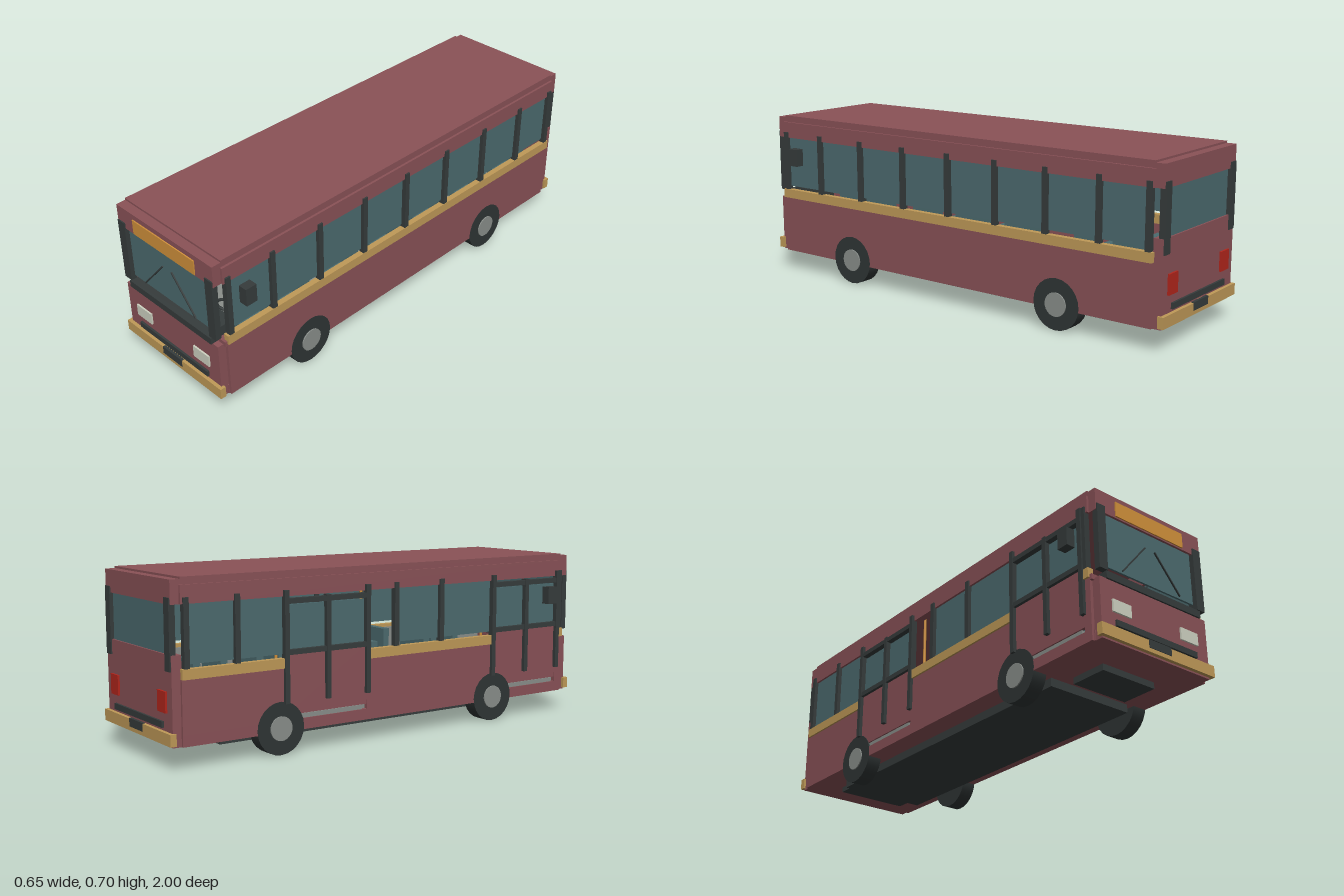
import * as THREE from 'three';

const paint = (name, color, extra = {}) => {
  const m = new THREE.MeshStandardMaterial({ color, ...extra });
  m.name = name;
  return m;
};

export function createModel() {
  const bus = new THREE.Group();
  bus.name = 'bus';
  const maroon = paint('maroon paint', 0x8a5257);
  const tan = paint('tan trim', 0xc09a58);
  const glass = paint('teal glass', 0x4c6b6f);
  const dark = paint('dark trim', 0x363c3c);
  const tyre = paint('tyre rubber', 0x2f3535);
  const grey = paint('light grey', 0x8a8f8b);
  const lampWhite = paint('headlight cream', 0xced2c1);
  const lampRed = paint('tail light red', 0xb3261c);
  const amber = paint('amber sign', 0xd2913b);

  // Box given by its limits on each axis
  const box = (name, mat, x0, x1, y0, y1, z0, z1, parent = bus) => {
    const m = new THREE.Mesh(new THREE.BoxGeometry(x1 - x0, y1 - y0, z1 - z0), mat);
    m.position.set((x0 + x1) / 2, (y0 + y1) / 2, (z0 + z1) / 2);
    m.name = name;
    parent.add(m);
    return m;
  };
  // Side box measured outward from the centre line, s = +1 left or -1 right
  const side = (name, mat, s, a, b, y0, y1, z0, z1) =>
    box(name, mat, s > 0 ? a : -b, s > 0 ? b : -a, y0, y1, z0, z1);
  // End box measured outward from the middle, e = +1 front or -1 back
  const end = (name, mat, e, x0, x1, y0, y1, a, b) =>
    box(name, mat, x0, x1, y0, y1, e > 0 ? a : -b, e > 0 ? b : -a);

  // Floor, chassis and roof
  box('underbody', maroon, -0.275, 0.275, 0.088, 0.13, -0.955, 0.955);
  box('cabinFloor', grey, -0.268, 0.268, 0.13, 0.15, -0.94, 0.94);
  box('chassis', dark, -0.195, 0.195, 0.054, 0.088, -0.75, 0.635);
  box('rearTank', dark, -0.16, 0.16, 0.066, 0.088, -0.84, -0.75);
  box('frontTray', dark, -0.13, 0.13, 0.062, 0.088, 0.685, 0.84);
  box('roof', maroon, -0.275, 0.275, 0.67, 0.705, -0.945, 0.945);

  // Parts shared by both sides
  for (const s of [1, -1]) {
    side('sill', maroon, s, 0.262, 0.285, 0.088, 0.132, -0.95, 0.95);
    side('cantrail', maroon, s, 0.255, 0.285, 0.608, 0.677, -0.95, 0.95);
    side('mirror', dark, s, 0.285, 0.323, 0.49, 0.565, 0.83, 0.88);
  }

  // Left side: unbroken wall, stripe and windows
  side('leftWall', maroon, 1, 0.268, 0.285, 0.13, 0.336, -0.95, 0.95);
  side('leftLining', grey, 1, 0.262, 0.268, 0.15, 0.36, -0.94, 0.94);
  side('leftStripe', tan, 1, 0.268, 0.293, 0.335, 0.374, -0.95, 0.95);
  side('leftGlass', glass, 1, 0.268, 0.276, 0.388, 0.61, 0.015, 0.935);
  side('leftGlass', glass, 1, 0.268, 0.276, 0.388, 0.61, -0.935, -0.015);
  for (const z of [0.93, 0.72, 0.48, 0.24, 0, -0.24, -0.48, -0.72, -0.93])
    side('windowPost', dark, 1, 0.268, 0.292, 0.37, 0.632, z - 0.011, z + 0.011);

  // Right side: wall, stripe and windows between two doors
  for (const [z0, z1] of [[-0.95, -0.51], [-0.13, 0.535], [0.915, 0.95]]) {
    side('rightWall', maroon, -1, 0.268, 0.285, 0.13, 0.336, z0, z1);
    side('rightStripe', tan, -1, 0.268, 0.293, 0.335, 0.374, z0, z1);
  }
  side('rightGlass', glass, -1, 0.268, 0.276, 0.388, 0.61, -0.935, -0.51);
  side('rightGlass', glass, -1, 0.268, 0.276, 0.388, 0.61, 0.02, 0.535);
  for (const z of [0.25, 0.015, -0.72, -0.93, 0.93])
    side('windowPost', dark, -1, 0.268, 0.292, 0.37, 0.632, z - 0.011, z + 0.011);

  // Double-leaf doors
  for (const [z0, z1] of [[-0.51, -0.13], [0.535, 0.915]]) {
    const mid = (z0 + z1) / 2;
    side('doorPanel', maroon, -1, 0.27, 0.283, 0.152, 0.395, z0, z1);
    side('doorStep', grey, -1, 0.25, 0.28, 0.13, 0.15, z0 + 0.02, z1 - 0.02);
    side('doorGlass', glass, -1, 0.27, 0.278, 0.395, 0.575, z0, z1);
    for (const z of [z0, mid, z1])
      side('doorPost', dark, -1, 0.272, 0.298, 0.198, z === mid ? 0.605 : 0.632, z - 0.01, z + 0.01);
    for (const y of [0.395, 0.59])
      side('doorRail', dark, -1, 0.272, 0.296, y - 0.01, y + 0.01, z0, z1);
  }

  // Parts shared by front and back
  for (const e of [1, -1]) {
    end('header', maroon, e, -0.275, 0.275, 0.607, 0.697, 0.945, 0.985);
    end('bumper', tan, e, -0.285, 0.285, 0.095, 0.141, 0.975, 1);
    end('numberPlate', dark, e, -0.057, 0.057, 0.111, 0.144, 0.99, 1.003 - 0.003);
    end('plateFace', dark, e, -0.057, 0.057, 0.111, 0.144, 0.998, 1.0015);
    end('grilleBar', dark, e, -0.205, 0.205, 0.152, 0.176, 0.98, 0.994);
    for (const s of [1, -1]) {
      const x0 = s > 0 ? 0.232 : -0.272;
      end('cornerPillar', dark, e, x0, x0 + 0.04, 0.365, 0.632, 0.965, 0.99);
    }
  }

  // Front face
  box('frontPanel', maroon, -0.272, 0.272, 0.088, 0.332, 0.945, 0.985);
  box('windscreen', glass, -0.225, 0.225, 0.388, 0.608, 0.968, 0.976);
  box('windscreenLedge', dark, -0.242, 0.242, 0.331, 0.36, 0.95, 0.992);
  box('destinationSign', amber, -0.177, 0.177, 0.613, 0.675, 0.983, 0.99);
  for (const s of [1, -1]) {
    const lamp = box('headlight', lampWhite, -0.045, 0.045, 0.206, 0.256, 0.983, 0.992);
    lamp.position.x = s * 0.172;
    side('frontCorner', maroon, s, 0.245, 0.285, 0.325, 0.347, 0.935, 0.96);
    // Wiper leaning towards the middle
    const wiper = new THREE.Mesh(new THREE.BoxGeometry(0.005, 0.19, 0.006), dark);
    wiper.position.set(s * 0.087, 0.467, 0.981);
    wiper.rotation.z = s * Math.atan2(0.123, 0.143);
    wiper.name = 'wiper';
    bus.add(wiper);
  }

  // Back face
  box('backPanel', maroon, -0.275, 0.275, 0.088, 0.425, -0.985, -0.945);
  box('backWindow', glass, -0.225, 0.225, 0.42, 0.608, -0.978, -0.97);
  for (const s of [1, -1])
    side('tailLight', lampRed, s, 0.17, 0.235, 0.21, 0.29, -0.993, -0.984);

  // Wheels with hubs
  for (const s of [1, -1]) for (const z of [0.54, -0.535]) {
    const wheel = new THREE.Group();
    wheel.name = 'wheel';
    wheel.position.set(s * 0.255, 0.104, z);
    for (const [name, mat, r, len, off] of [
      ['tyre', tyre, 0.104, 0.062, 0], ['hub', grey, 0.048, 0.066, 0.003]]) {
      const m = new THREE.Mesh(new THREE.CylinderGeometry(r, r, len, 24), mat);
      m.rotation.z = Math.PI / 2;
      m.position.x = s * off;
      m.name = name;
      wheel.add(m);
    }
    bus.add(wheel);
  }

  // Passenger seats in rows
  for (let i = 0; i < 6; i++) for (const s of [1, -1]) {
    const z = -0.85 + i * 0.27;
    if (s < 0 && (i === 2 || i === 5)) continue;
    side('seatCushion', glass, s, 0.06, 0.22, 0.22, 0.25, z, z + 0.11);
    side('seatBack', glass, s, 0.06, 0.22, 0.22, 0.388, z - 0.02, z + 0.01);
  }
  // Grab poles
  for (const z of [-0.52, -0.12, 0.52]) {
    const pole = new THREE.Mesh(new THREE.CylinderGeometry(0.006, 0.006, 0.52, 8), amber);
    pole.position.set(-0.229, 0.41, z);
    pole.name = 'grabPole';
    bus.add(pole);
  }

  // Driver's area
  box('dashboard', dark, 0.06, 0.23, 0.31, 0.373, 0.87, 0.945);
  box('fareBox', dark, -0.196, -0.11, 0.15, 0.377, 0.87, 0.93);
  box('driverSeat', glass, 0.1, 0.22, 0.2, 0.24, 0.66, 0.78);
  box('driverSeatBack', glass, 0.1, 0.22, 0.2, 0.43, 0.64, 0.67);
  const steering = new THREE.Mesh(new THREE.TorusGeometry(0.045, 0.006, 8, 20), dark);
  steering.position.set(0.16, 0.38, 0.84);
  steering.rotation.x = 1.2;
  steering.name = 'steeringWheel';
  bus.add(steering);

  return bus;
}
